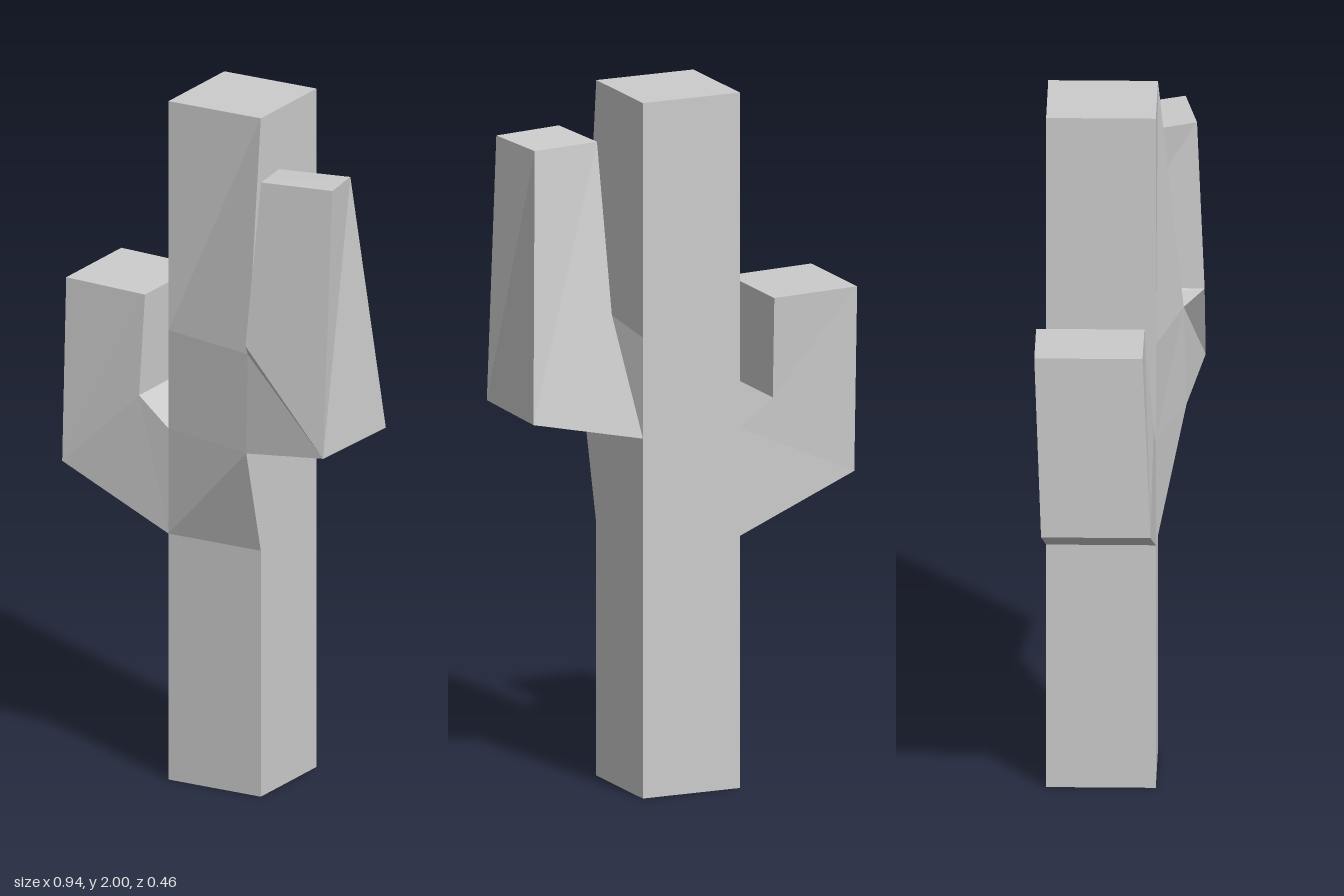
import * as THREE from 'three';

const material = new THREE.MeshStandardMaterial({ color: 0xcccccc, flatShading: true });

// Skins four-cornered rings (front -x, front +x, back +x, back -x) from first to last.
// openings: [segment, side] pairs left out where a branch grows; caps close the ends.
function skin(name, rings, { openings = [], capStart = false, capEnd = true } = {}) {
  const positions = [];
  const quad = (a, b, c, d) => positions.push(...a, ...b, ...c, ...a, ...c, ...d);
  for (let s = 0; s < rings.length - 1; s++) {
    const lower = rings[s], upper = rings[s + 1];
    for (let i = 0; i < 4; i++) {
      if (openings.some(([seg, side]) => seg === s && side === i)) continue;
      const j = (i + 1) % 4;
      quad(lower[i], lower[j], upper[j], upper[i]);
    }
  }
  if (capStart) quad(...[...rings[0]].reverse());
  if (capEnd) quad(...rings[rings.length - 1]);
  const geometry = new THREE.BufferGeometry();
  geometry.setAttribute('position', new THREE.Float32BufferAttribute(positions, 3));
  geometry.computeVertexNormals();
  const mesh = new THREE.Mesh(geometry, material);
  mesh.name = name;
  return mesh;
}

export function createModel() {
  const group = new THREE.Group();
  group.name = 'cactus';

  // Square trunk; its front +x corner bulges where the left arm grows
  const x0 = -0.12, x1 = 0.18, front = 0.1, back = -0.207;
  const trunkRing = (y, bulge = front) =>
    [[x0, y, front], [x1, y, bulge], [x1, y, back], [x0, y, back]];
  const trunk = [
    trunkRing(0), trunkRing(0.725), trunkRing(1.035, 0.18), trunkRing(1.325, 0.172), trunkRing(2),
  ];
  group.add(skin('trunk', trunk, { openings: [[2, 1], [1, 3]], capStart: true }));

  // Left arm: root on the trunk, twisted elbow, tapering tip
  group.add(skin('leftArm', [
    [trunk[3][1], trunk[2][1], trunk[2][2], trunk[3][2]],
    [[0.207, 1.37, 0.23], [0.458, 1.08, 0.228], [0.468, 1.08, -0.1], [0.222, 1.37, -0.092]],
    [[0.245, 1.853, 0.208], [0.455, 1.853, 0.172], [0.415, 1.84, 0.005], [0.205, 1.838, 0.042]],
  ]));

  // Right arm: root on the trunk, elbow, upright tip
  group.add(skin('rightArm', [
    [trunk[1][0], trunk[2][0], trunk[2][3], trunk[1][3]],
    [[-0.47, 0.878, 0.092], [-0.218, 1.115, 0.096], [-0.218, 1.115, -0.214], [-0.47, 0.878, -0.214]],
    [[-0.47, 1.413, 0.07], [-0.214, 1.405, 0.07], [-0.214, 1.405, -0.233], [-0.47, 1.413, -0.233]],
  ]));

  return group;
}
